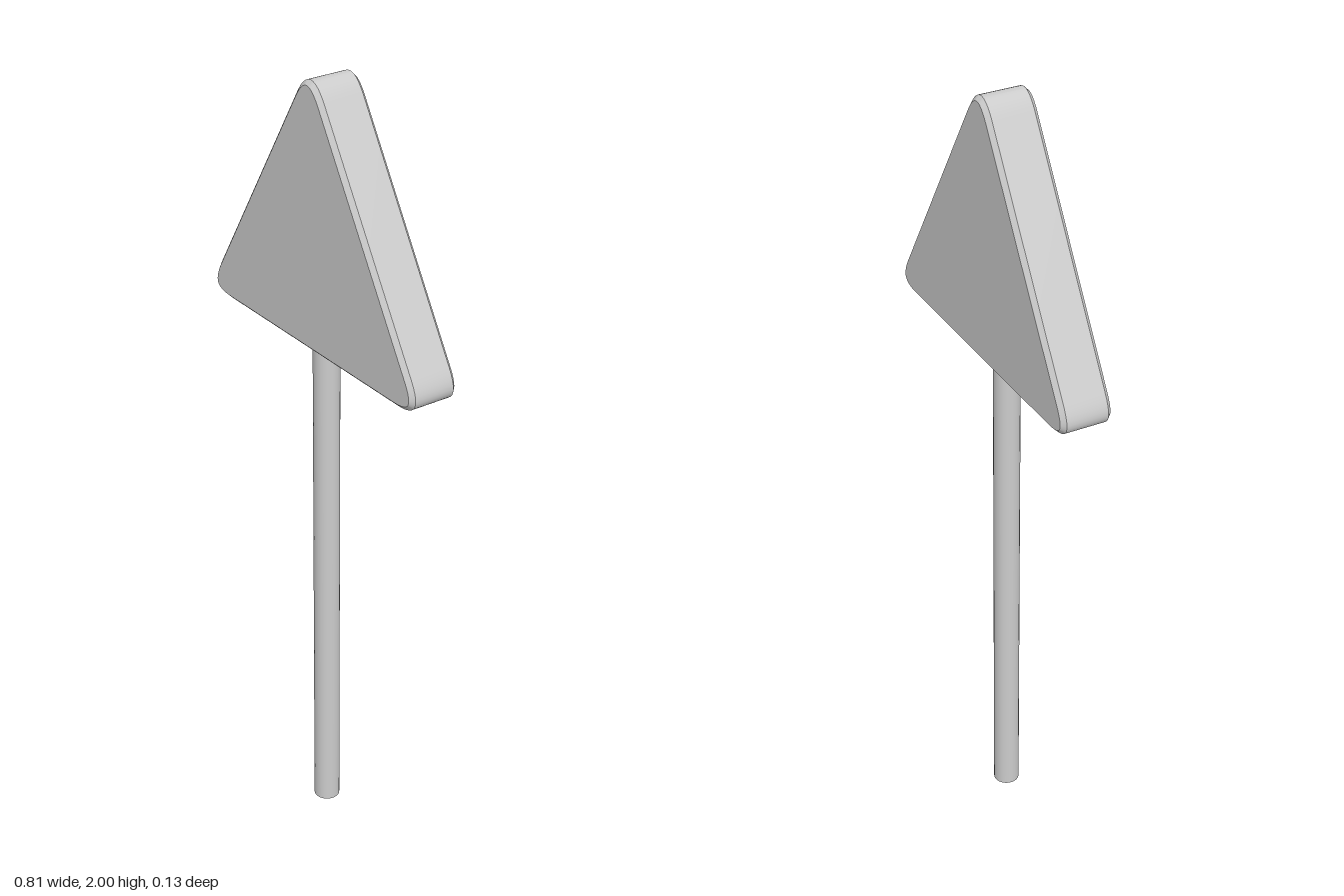
import * as THREE from 'three';
import { toCreasedNormals } from 'three/addons/utils/BufferGeometryUtils.js';

const material = new THREE.MeshStandardMaterial({ color: 0xcccccc });

// Polygon outline whose corners are softened with quadratic curves
function roundedOutline(corners, cut) {
  const shape = new THREE.Shape();
  corners.forEach((corner, i) => {
    const prev = corners[(i + corners.length - 1) % corners.length];
    const next = corners[(i + 1) % corners.length];
    const towards = (p) => corner.clone().add(p.clone().sub(corner).setLength(cut));
    const a = towards(prev), b = towards(next);
    if (i === 0) shape.moveTo(a.x, a.y);
    else shape.lineTo(a.x, a.y);
    shape.quadraticCurveTo(corner.x, corner.y, b.x, b.y);
  });
  shape.closePath();
  return shape;
}

export function createModel() {
  const group = new THREE.Group();
  group.name = 'warningSign';

  // Thick triangular panel with a small chamfer on both faces
  const bevel = 0.011, thickness = 0.128;
  const outline = roundedOutline([
    new THREE.Vector2(0, 2.043),
    new THREE.Vector2(-0.437, 1.335),
    new THREE.Vector2(0.437, 1.335),
  ], 0.1);
  const panelGeometry = new THREE.ExtrudeGeometry(outline, {
    depth: thickness - 2 * bevel,
    curveSegments: 12,
    bevelEnabled: true,
    bevelThickness: bevel,
    bevelSize: bevel,
    bevelOffset: -bevel,
    bevelSegments: 1,
  });
  panelGeometry.translate(0, 0, bevel - thickness / 2);
  const panel = new THREE.Mesh(toCreasedNormals(panelGeometry, 0.5), material);
  panel.name = 'signPanel';
  group.add(panel);

  // Round post, set slightly towards the front, ending inside the panel
  const postHeight = 1.35;
  const post = new THREE.Mesh(
    new THREE.CylinderGeometry(0.033, 0.033, postHeight, 24), material);
  post.position.set(0, postHeight / 2, 0.011);
  post.name = 'post';
  group.add(post);

  return group;
}
